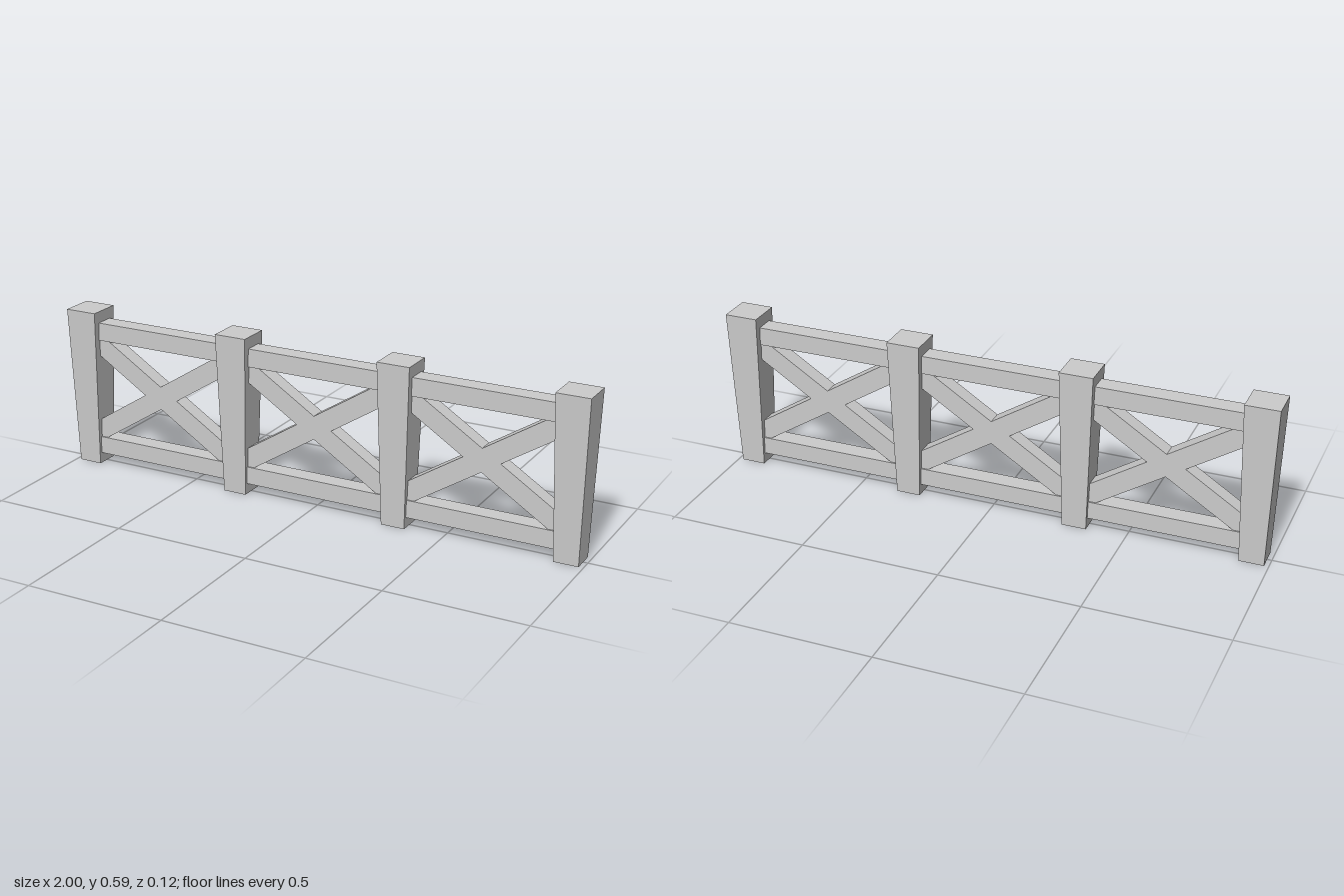
import * as THREE from 'three';

const HEIGHT = 0.588;
const POSTS = [-0.94, -0.313, 0.313, 0.94];

export function createModel() {
  const fence = new THREE.Group();
  fence.name = 'fence';
  const material = new THREE.MeshStandardMaterial({ color: 0xcccccc, flatShading: true });

  function add(name, geometry, x, y, parent = fence) {
    const mesh = new THREE.Mesh(geometry, material);
    mesh.name = name;
    mesh.position.set(x, y, 0);
    parent.add(mesh);
    return mesh;
  }

  // Square posts, narrower at the foot than at the top
  const postGeometry = new THREE.BoxGeometry(0.12, HEIGHT, 0.12);
  const p = postGeometry.attributes.position;
  for (let i = 0; i < p.count; i++) {
    if (p.getY(i) < 0) {
      p.setX(i, p.getX(i) * 0.73);
      p.setZ(i, p.getZ(i) * 0.73);
    }
  }
  postGeometry.computeVertexNormals();
  for (const x of POSTS) add('post', postGeometry, x, HEIGHT / 2);

  // Rails and crossed braces, bay by bay, with their ends inside the posts
  const slope = Math.atan(0.634);
  for (let i = 0; i < POSTS.length - 1; i++) {
    const bay = new THREE.Group();
    bay.name = 'bay';
    bay.position.x = (POSTS[i] + POSTS[i + 1]) / 2;
    fence.add(bay);
    const span = POSTS[i + 1] - POSTS[i];
    add('topRail', new THREE.BoxGeometry(span, 0.066, 0.068), 0, 0.513, bay);
    add('bottomRail', new THREE.BoxGeometry(span, 0.064, 0.068), 0, 0.072, bay);
    for (const side of [-1, 1]) {
      const length = (span - 0.04) / Math.cos(slope);
      const brace = add('brace', new THREE.BoxGeometry(length, 0.072, 0.058), 0, 0.299, bay);
      brace.rotation.z = side * slope;
    }
  }
  return fence;
}
